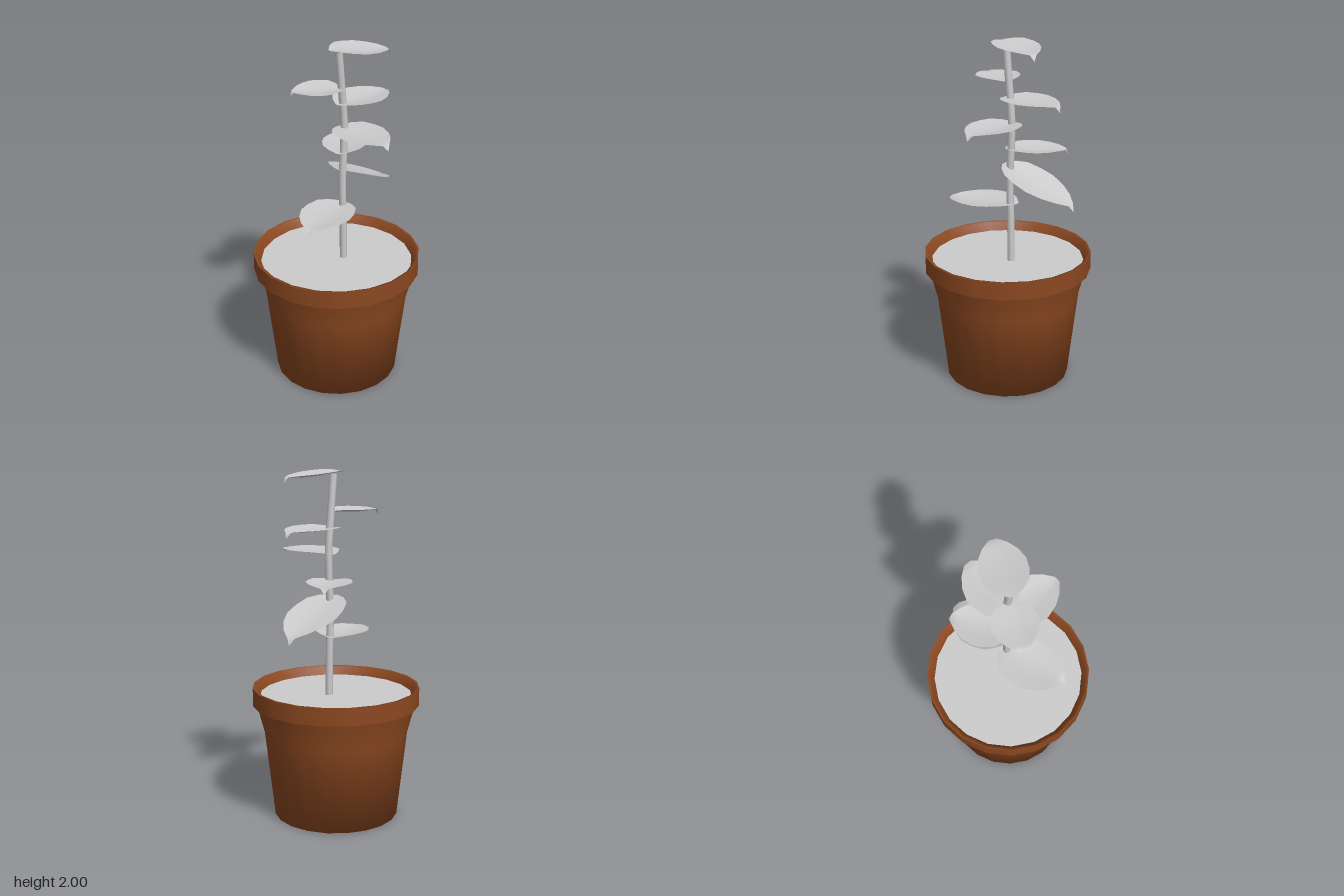
import * as THREE from 'three';

const grey = new THREE.MeshStandardMaterial({ color: 0xcccccc });
const leafGrey = new THREE.MeshStandardMaterial({ color: 0xcccccc, side: THREE.DoubleSide });
const clay = new THREE.MeshStandardMaterial({ color: 0x8b4820 });

const SIDES = 20;

function addMesh(parent, name, geometry, material) {
  const mesh = new THREE.Mesh(geometry, material);
  mesh.name = name;
  parent.add(mesh);
  return mesh;
}

function lathe(points) {
  return new THREE.LatheGeometry(points.map(([r, y]) => new THREE.Vector2(r, y)), SIDES);
}

// Leaf rows: position along the midrib, relative half width, height offset of the midrib
const LEAF_ROWS = [
  [0, 0.12, 0],
  [0.07, 0.5, 0],
  [0.18, 0.82, -0.002],
  [0.35, 0.97, -0.006],
  [0.52, 1, -0.008],
  [0.7, 0.82, -0.006],
  [0.85, 0.52, -0.002],
  [0.96, 0.16, 0],
  [1, 0, -0.03],
];

// Broad leaf with a shallow V section and a tip that hooks down
function leafGeometry(base, tip, halfWidth) {
  const columns = 4;
  const geometry = new THREE.PlaneGeometry(1, 1, columns, LEAF_ROWS.length - 1);
  const position = geometry.attributes.position;
  const start = new THREE.Vector3(...base);
  const end = new THREE.Vector3(...tip);
  const along = end.clone().sub(start);
  const side = new THREE.Vector3(0, 1, 0).cross(along).normalize();
  const p = new THREE.Vector3();
  for (let row = 0; row < LEAF_ROWS.length; row++) {
    const [t, width, lift] = LEAF_ROWS[row];
    for (let col = 0; col <= columns; col++) {
      const u = (2 * col) / columns - 1;
      p.copy(start).addScaledVector(along, t).addScaledVector(side, u * width * halfWidth);
      p.y += lift + 0.022 * Math.abs(u) * width;
      position.setXYZ(row * (columns + 1) + col, p.x, p.y, p.z);
    }
  }
  geometry.computeVertexNormals();
  return geometry;
}

export function createModel() {
  const plant = new THREE.Group();
  plant.name = 'pottedPlant';

  // Pot with a closed base, flared below the rim
  const pot = new THREE.Group();
  pot.name = 'pot';
  plant.add(pot);
  addMesh(pot, 'potBody', lathe([[0, 0], [0.36, 0], [0.417, 0.505], [0.46, 0.668]]), clay);
  addMesh(pot, 'potRimOuter', lathe([[0.455, 0.665], [0.483, 0.665], [0.483, 0.665], [0.483, 0.767]]), clay);
  addMesh(pot, 'potRimInner', lathe([[0.483, 0.767], [0.465, 0.765], [0.44, 0.715]]), clay);

  // Soil disc, lined up with the lathe's corners
  const soil = addMesh(plant, 'soil', new THREE.CircleGeometry(0.442, SIDES), grey);
  soil.rotation.x = -Math.PI / 2;
  soil.position.y = 0.717;

  // Gently bent stem
  const stemPath = new THREE.CatmullRomCurve3([
    [0.04, 0.71], [0.037, 0.95], [0.03, 1.2], [0.04, 1.42],
    [0.043, 1.55], [0.025, 1.75], [0.003, 1.98],
  ].map(([x, y]) => new THREE.Vector3(x, y, 0.016)));
  addMesh(plant, 'stem', new THREE.TubeGeometry(stemPath, 18, 0.021, 8), grey);

  // Leaves from bottom to top: base, tip, half width
  const leaves = [
    [[0.06, 1.06, -0.02], [-0.33, 1.06, 0.15], 0.15],
    [[-0.01, 1.295, 0.02], [0.425, 1.11, -0.06], 0.165],
    [[0.0, 1.385, 0.02], [0.285, 1.385, -0.19], 0.13],
    [[0.035, 1.535, -0.02], [0.037, 1.54, 0.38], 0.14],
    [[-0.01, 1.68, 0.02], [0.372, 1.68, 0.01], 0.14],
    [[0.02, 1.77, 0.025], [-0.24, 1.775, -0.1], 0.125],
    [[-0.045, 1.99, -0.005], [0.283, 1.962, 0.12], 0.127],
  ];
  const foliage = new THREE.Group();
  foliage.name = 'leaves';
  plant.add(foliage);
  leaves.forEach((leaf, i) => addMesh(foliage, `leaf${i + 1}`, leafGeometry(...leaf), leafGrey));

  return plant;
}
